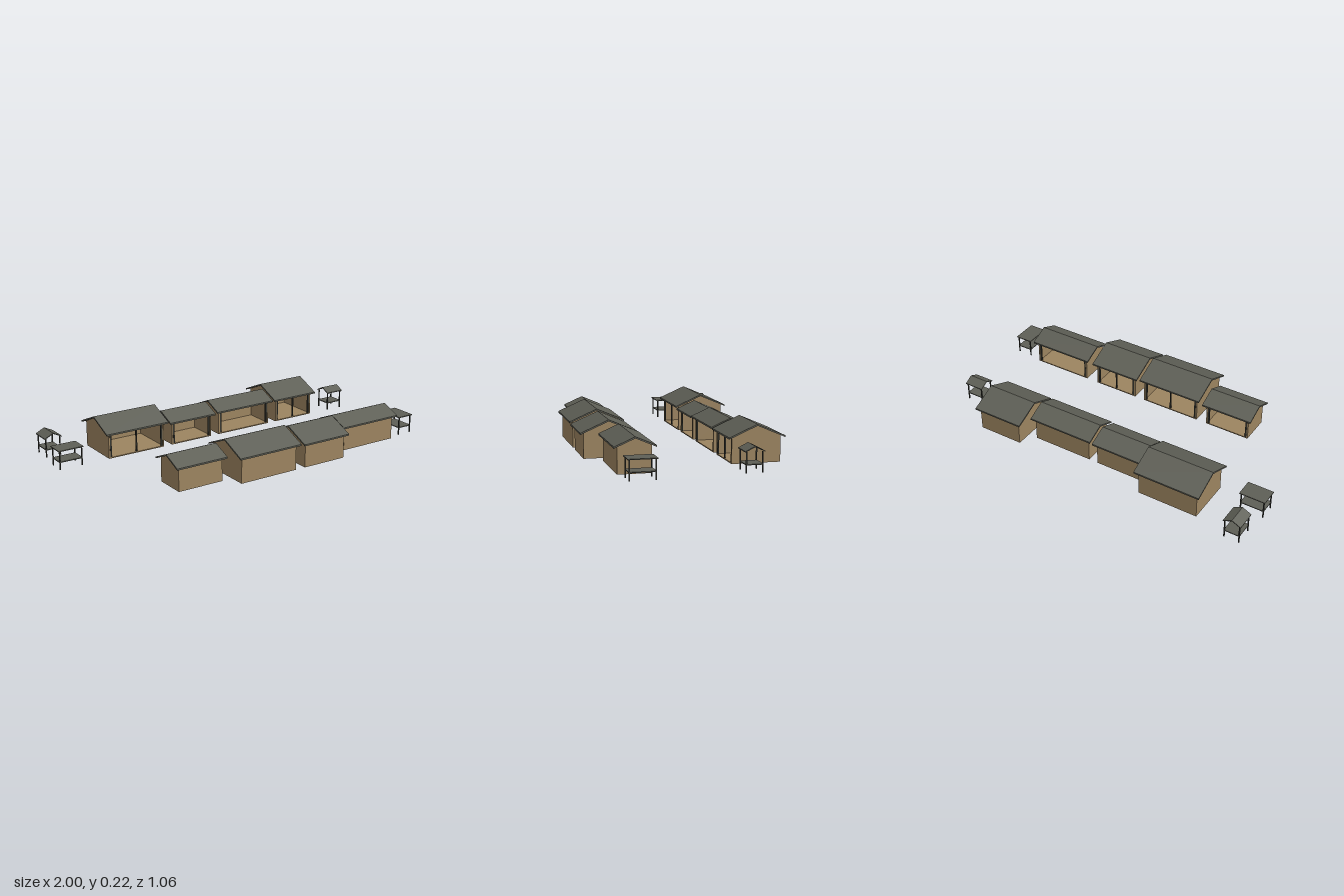
import * as THREE from 'three';

const wallMat = new THREE.MeshStandardMaterial({ name: 'tan timber', color: 0x9c8460 });
const roofMat = new THREE.MeshStandardMaterial({ name: 'grey roof', color: 0x5e5f56 });
const postMat = new THREE.MeshStandardMaterial({ name: 'dark post', color: 0x363731 });

const SLOPE = 0.43, OVERHANG = 0.02, WALL = 0.008, ROOF = 0.009;

function box(parent, name, mat, w, h, d, x, y, z) {
  const mesh = new THREE.Mesh(new THREE.BoxGeometry(w, h, d), mat);
  mesh.name = name;
  mesh.position.set(x, y, z);
  parent.add(mesh);
  return mesh;
}

// Extrude a (z, y) outline along x, centred on x
function extrudeX(parent, name, mat, points, length, x = 0) {
  const shape = new THREE.Shape(points.map(([u, v]) => new THREE.Vector2(u, v)));
  const geo = new THREE.ExtrudeGeometry(shape, { depth: length, bevelEnabled: false });
  geo.translate(0, 0, -length / 2).rotateY(Math.PI / 2);
  const mesh = new THREE.Mesh(geo, mat);
  mesh.name = name;
  mesh.position.x = x;
  parent.add(mesh);
  return mesh;
}

// Outline of a pitched roof of even vertical thickness
function chevron(half, peak, slope, t) {
  const eave = peak - half * slope;
  return [[-half, eave - t], [0, peak - t], [half, eave - t], [half, eave], [0, peak], [-half, eave]];
}

// Shop house, open on its +z side; x and z ranges are those of the roof
function house({ x, z, ridge, flip, midPost }) {
  const g = new THREE.Group();
  g.name = 'house';
  g.position.set((x[0] + x[1]) / 2, 0, (z[0] + z[1]) / 2);
  if (flip) g.rotation.y = Math.PI;

  const roofLength = x[1] - x[0], roofHalf = (z[1] - z[0]) / 2;
  const w = roofLength - 2 * OVERHANG, half = roofHalf - OVERHANG;
  const under = ridge - ROOF, eave = under - half * SLOPE;

  extrudeX(g, 'roof', roofMat, chevron(roofHalf, ridge, SLOPE, ROOF), roofLength);

  // gabled side walls
  const gable = [[-half, 0], [half, 0], [half, eave], [0, under], [-half, eave]];
  for (const s of [-1, 1]) extrudeX(g, 'sideWall', wallMat, gable, WALL, s * (w - WALL) / 2);

  const inner = w - 2 * WALL;
  box(g, 'backWall', wallMat, inner, eave, WALL, 0, eave / 2, -half + WALL / 2);
  box(g, 'floor', wallMat, inner, 0.006, 2 * half - WALL, 0, 0.003, WALL / 2);

  // posts along the open front
  const spots = [-1, 1].map(s => s * (inner / 2 - 0.006));
  if (midPost) spots.push(0);
  for (const px of spots) {
    const pw = px === 0 ? 0.007 : 0.01;
    box(g, 'frontPost', postMat, pw, eave, 0.008, px, eave / 2, half - 0.005);
  }
  return g;
}

// Market stall: four posts, a counter and a flat or pitched roof
function stall({ x, z, ridgeAxis }) {
  const g = new THREE.Group();
  g.name = 'stall';
  g.position.set((x[0] + x[1]) / 2, 0, (z[0] + z[1]) / 2);
  const w = x[1] - x[0], d = z[1] - z[0], inset = 0.009, top = 0.109;

  for (const sx of [-1, 1]) for (const sz of [-1, 1]) {
    box(g, 'stallPost', postMat, 0.006, top, 0.006,
      sx * (w / 2 - inset), top / 2, sz * (d / 2 - inset));
  }
  box(g, 'counter', roofMat, w - 0.012, 0.005, d - 0.012, 0, 0.043, 0);

  if (!ridgeAxis) {
    box(g, 'stallRoof', roofMat, w, 0.005, d, 0, 0.108, 0);
  } else {
    const along = ridgeAxis === 'x' ? w : d;
    const half = (ridgeAxis === 'x' ? d : w) / 2;
    const roof = extrudeX(g, 'stallRoof', roofMat, chevron(half, 0.137, 0.025 / half, 0.005), along);
    if (ridgeAxis === 'z') roof.rotation.y = Math.PI / 2;
  }
  return g;
}

export function createModel() {
  const model = new THREE.Group();
  model.name = 'marketStreet';

  const houses = [
    // back row, facing +z
    { x: [-0.713, -0.319], z: [-0.49, -0.185], ridge: 0.215, midPost: true },
    { x: [-0.305, 0.002], z: [-0.402, -0.185], ridge: 0.185 },
    { x: [0.016, 0.414], z: [-0.402, -0.185], ridge: 0.19 },
    { x: [0.429, 0.735], z: [-0.49, -0.185], ridge: 0.207, midPost: true },
    // front row, facing -z
    { x: [-0.644, -0.336], z: [0.224, 0.441], ridge: 0.184, flip: true },
    { x: [-0.313, 0.083], z: [0.224, 0.53], ridge: 0.215, flip: true, midPost: true },
    { x: [0.105, 0.414], z: [0.224, 0.53], ridge: 0.207, flip: true, midPost: true },
    { x: [0.45, 0.846], z: [0.224, 0.441], ridge: 0.19, flip: true },
  ];
  for (const h of houses) model.add(house(h));

  const stalls = [
    { x: [-0.979, -0.876], z: [-0.53, -0.413], ridgeAxis: 'z' },
    { x: [-1, -0.85], z: [-0.3, -0.197] },
    { x: [0.845, 0.96], z: [-0.3, -0.197], ridgeAxis: 'x' },
    { x: [0.897, 1], z: [0.255, 0.406] },
  ];
  for (const s of stalls) model.add(stall(s));

  return model;
}
